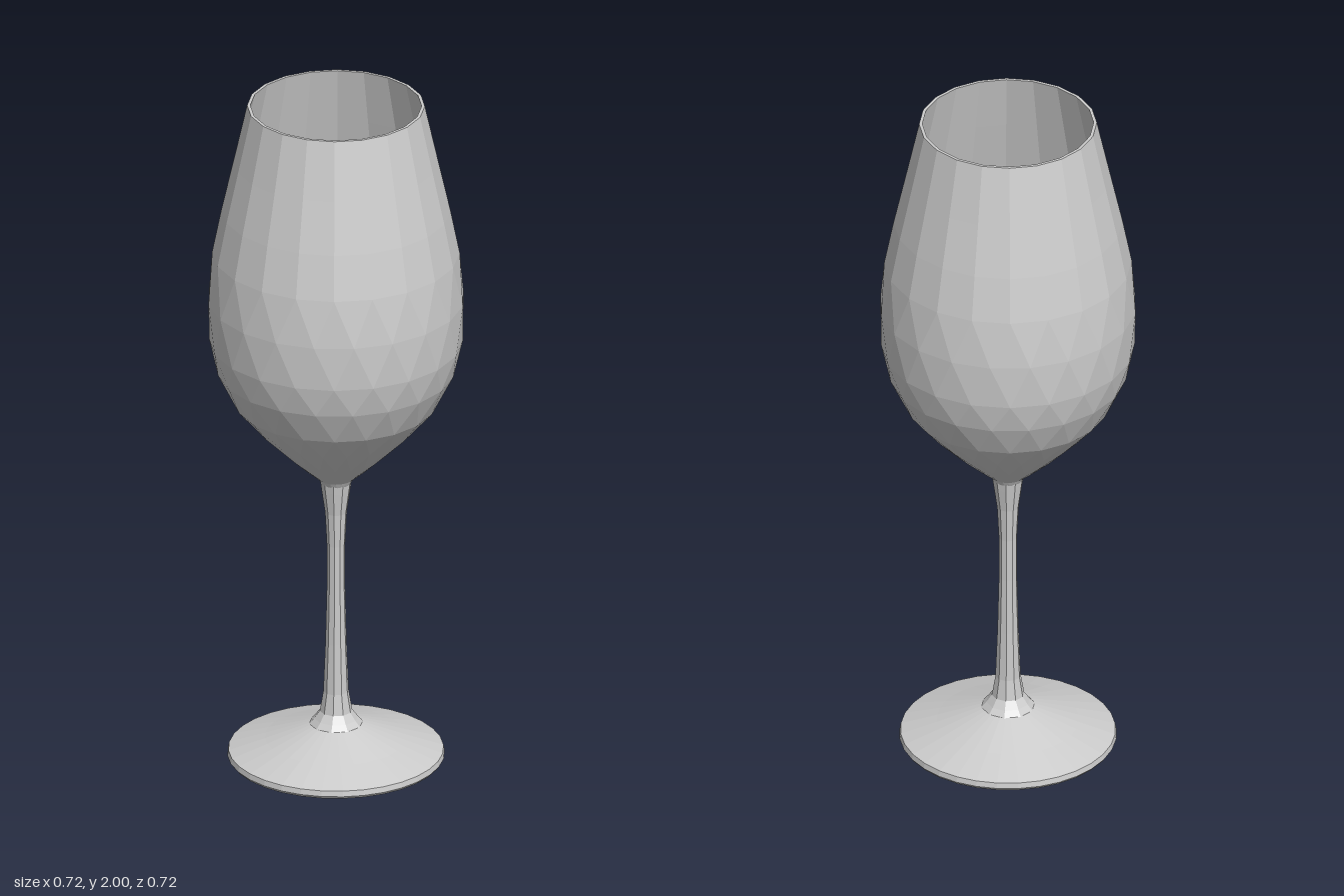
import * as THREE from 'three';

const material = new THREE.MeshStandardMaterial({ color: 0xcccccc, flatShading: true, side: THREE.DoubleSide });

// Revolves [radius, height] pairs; each ring is turned half a facet further until the height twistTop
function revolve(name, profile, sides, twistTop = 0, inward = false) {
  const points = profile.map(([r, y]) => new THREE.Vector2(r, y));
  const geometry = new THREE.LatheGeometry(points, sides);
  const pos = geometry.attributes.position;
  const turns = [];
  let angle = 0;
  for (const [, y] of profile) {
    turns.push(angle);
    if (y < twistTop) angle += Math.PI / sides;
  }
  for (let i = 0; i < pos.count; i++) {
    const a = turns[i % profile.length], x = pos.getX(i), z = pos.getZ(i);
    pos.setX(i, x * Math.cos(a) + z * Math.sin(a));
    pos.setZ(i, z * Math.cos(a) - x * Math.sin(a));
  }
  // Inner walls face the axis
  if (inward) {
    const index = geometry.index.array;
    for (let i = 0; i < index.length; i += 3) [index[i], index[i + 1]] = [index[i + 1], index[i]];
  }
  geometry.computeVertexNormals();
  const mesh = new THREE.Mesh(geometry, material);
  mesh.name = name;
  return mesh;
}

export function createModel() {
  const glass = new THREE.Group();
  glass.name = 'wineGlass';

  // Foot: flat underside, thin edge, shallow cone
  glass.add(revolve('foot', [[0, 0], [0.3, 0], [0.306, 0.008], [0.303, 0.024], [0.2, 0.058], [0.075, 0.102], [0, 0.11]], 32));

  // Stem: flares into the foot and into the bowl
  glass.add(revolve('stem', [
    [0.078, 0.1], [0.062, 0.118], [0.046, 0.14], [0.036, 0.2], [0.03, 0.35], [0.026, 0.52],
    [0.026, 0.65], [0.031, 0.75], [0.041, 0.82], [0.045, 0.85],
  ], 10));

  // Bowl wall shared by the outside and the inside
  const wall = [
    [0.215, 1.01], [0.285, 1.09], [0.335, 1.19], [0.357, 1.28], [0.362, 1.41],
    [0.348, 1.55], [0.322, 1.68], [0.288, 1.83], [0.25, 2],
  ];
  const thickness = 0.009;
  const bowl = new THREE.Group();
  bowl.name = 'bowl';
  bowl.add(revolve('bowlOutside', [[0.036, 0.83], [0.05, 0.855], [0.085, 0.885], [0.14, 0.935], ...wall], 20, 1.5));
  const lining = wall.map(([r, y]) => [r - thickness, y]);
  bowl.add(revolve('bowlInside', [[0, 0.885], [0.06, 0.893], [0.125, 0.94], [0.165, 0.975], ...lining], 20, 1.5, true));

  // Rim closes the thin wall at the top, with the same turn as the wall
  const rim = revolve('rim', [[0.25, 2], [0.25 - thickness, 2]], 20);
  rim.rotation.y = 9 * Math.PI / 20;
  bowl.add(rim);
  glass.add(bowl);

  return glass;
}
